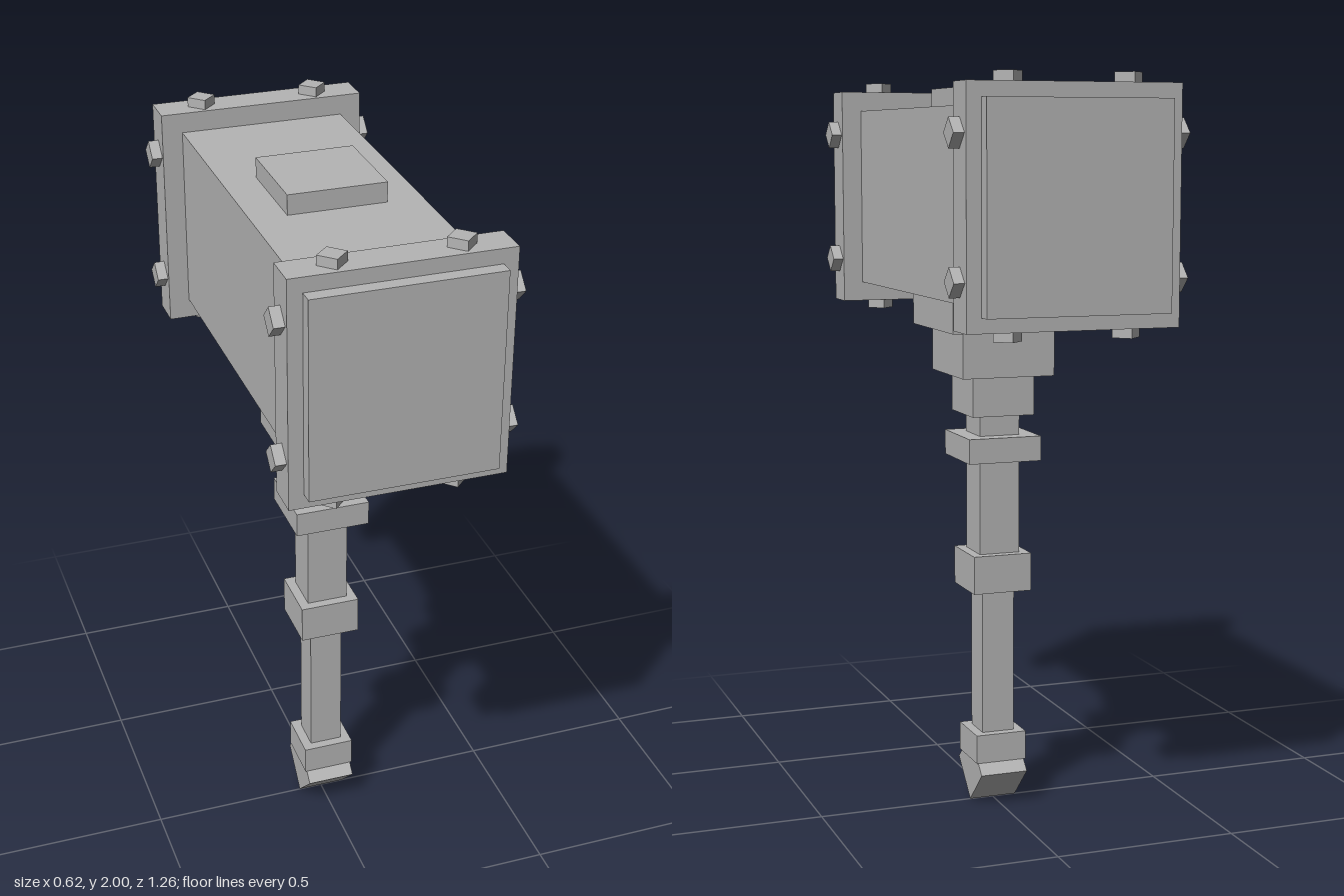
import * as THREE from 'three';

export function createModel() {
  const model = new THREE.Group();
  model.name = 'warHammer';
  const stone = new THREE.MeshStandardMaterial({ color: 0xb4b4b4 });
  stone.name = 'plain grey';

  const add = (name, w, h, d, x, y, z) => {
    const mesh = new THREE.Mesh(new THREE.BoxGeometry(w, h, d), stone);
    mesh.name = name;
    mesh.position.set(x, y, z);
    model.add(mesh);
    return mesh;
  };
  // Square block on the hammer's axis, from its half width and height range
  const block = (name, half, y0, y1) =>
    add(name, half * 2, y1 - y0, half * 2, 0, (y0 + y1) / 2, 0);

  // Handle, from the pommel up to the head
  block('pommelCollar', 0.072, 0.125, 0.205);
  block('lowerShaft', 0.046, 0.1, 0.62);
  block('gripCollar', 0.083, 0.61, 0.715);
  block('upperShaft', 0.057, 0.7, 1.11);
  block('guardRing', 0.103, 0.975, 1.043);
  block('neckStep', 0.088, 1.1, 1.21);
  block('neckStep', 0.13, 1.21, 1.335);
  block('neckStep', 0.172, 1.335, 1.44);

  // Pommel: a cube turned on its edge
  const side = 0.097 * Math.SQRT2;
  add('pommel', 0.134, side, side, 0, 0.097, 0).rotation.x = Math.PI / 4;

  // Head
  const midY = 1.676;
  add('head', 0.449, 0.492, 1.1, 0, midY, 0);
  block('topPlate', 0.13, 1.9, 1.975);

  // Bands, striking faces and bolts at both ends
  const bolt = 0.053;
  for (const s of [1, -1]) {
    add('band', 0.56, 0.599, 0.095, 0, midY, s * 0.5425);
    add('strikingFace', 0.484, 0.522, 0.08, 0, midY, s * 0.588);
    for (const a of [1, -1]) {
      for (const b of [1, -1]) {
        add('sideBolt', 0.06, bolt, bolt, a * 0.278, midY + b * 0.178, s * 0.5415)
          .rotation.x = Math.PI / 4;
        add('edgeBolt', bolt, 0.06, bolt, a * 0.157, midY + b * 0.295, s * 0.5415)
          .rotation.y = Math.PI / 4;
      }
    }
  }
  return model;
}
